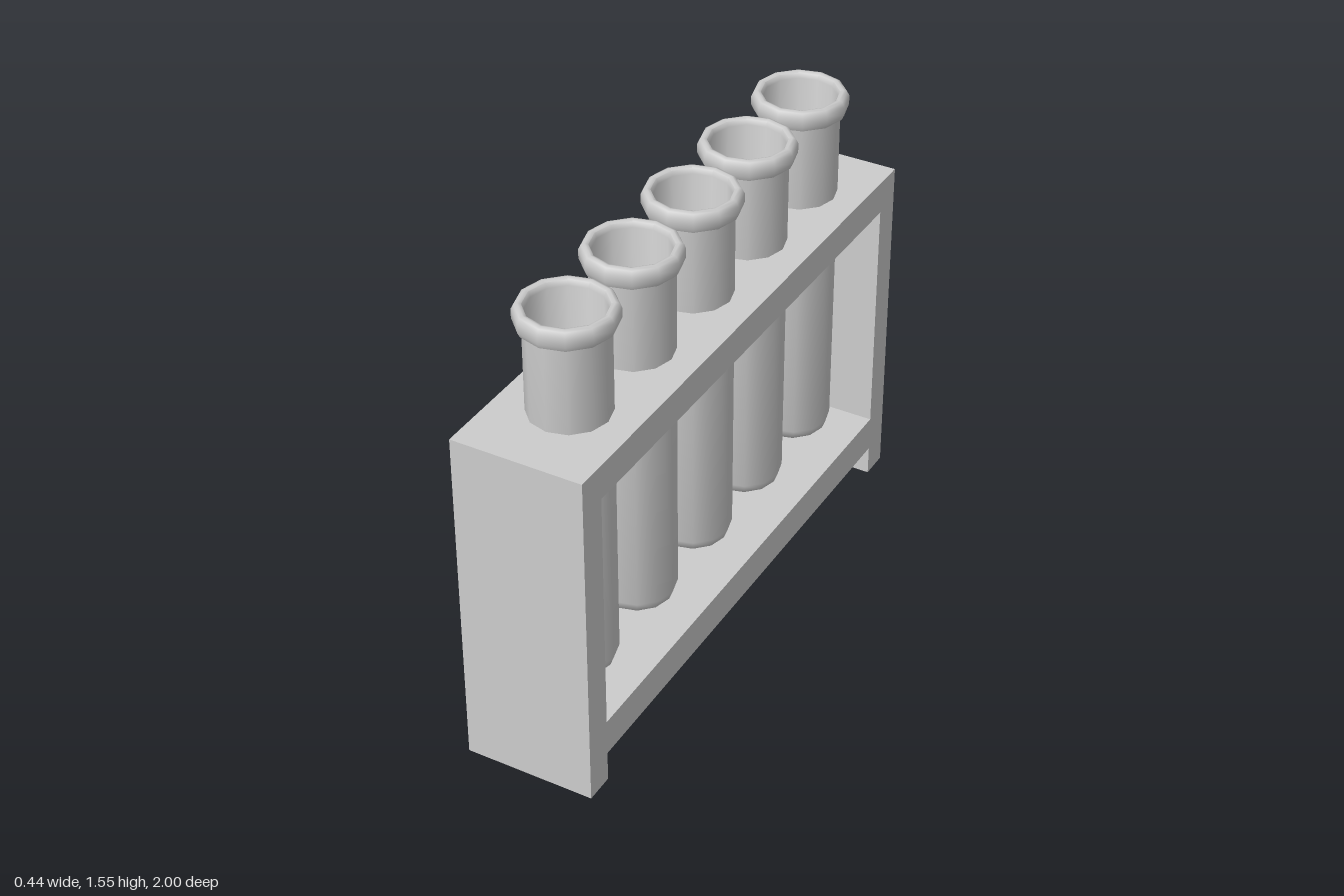
import * as THREE from 'three';
import { toCreasedNormals } from 'three/addons/utils/BufferGeometryUtils.js';

const SIDES = 12, R = 0.13, INNER = 0.12;
const TUBE_Z = [0.705, 0.34, -0.02, -0.37, -0.725];

export function createModel() {
  const model = new THREE.Group();
  const grey = new THREE.MeshStandardMaterial({ color: 0xcccccc });
  const add = (name, geometry, x, y, z) => {
    const mesh = new THREE.Mesh(geometry, grey);
    mesh.name = name;
    mesh.position.set(x, y, z);
    model.add(mesh);
    return mesh;
  };

  // End boards, standing on the ground
  const board = new THREE.BoxGeometry(0.44, 1.185, 0.1);
  add('frontEndBoard', board, 0, 0.5925, 0.95);
  add('backEndBoard', board, 0, 0.5925, -0.95);

  // Bottom shelf between the boards
  add('bottomShelf', new THREE.BoxGeometry(0.44, 0.125, 1.8), 0, 0.1675, 0);

  // Top rail with a hole for each tube
  const rail = new THREE.Shape([
    new THREE.Vector2(-0.22, -0.9), new THREE.Vector2(0.22, -0.9),
    new THREE.Vector2(0.22, 0.9), new THREE.Vector2(-0.22, 0.9),
  ]);
  for (const z of TUBE_Z) {
    rail.holes.push(new THREE.Path().absarc(0, -z, R, 0, Math.PI * 2, true));
  }
  const railGeometry = new THREE.ExtrudeGeometry(rail, {
    depth: 0.115, bevelEnabled: false, curveSegments: SIDES / 2,
  });
  railGeometry.rotateX(-Math.PI / 2);
  add('topRail', railGeometry, 0, 1.07, 0);

  // Tube profile: rounded outer bottom, wall, rolled rim, then the inside
  const profile = [
    [0, 0.23], [0.05, 0.232], [0.09, 0.247], [0.118, 0.268], [R, 0.3], [R, 1.48],
    [0.149, 1.483], [0.157, 1.5], [0.157, 1.53], [0.149, 1.546], [0.138, 1.55],
    [0.127, 1.546], [INNER, 1.53], [INNER, 0.305], [0.109, 0.277], [0.085, 0.258],
    [0.047, 0.243], [0, 0.24],
  ].map(([x, y]) => new THREE.Vector2(x, y));
  const tube = toCreasedNormals(new THREE.LatheGeometry(profile, SIDES), 0.85);
  TUBE_Z.forEach((z, i) => add(`testTube${i + 1}`, tube, 0, 0, z));

  return model;
}
